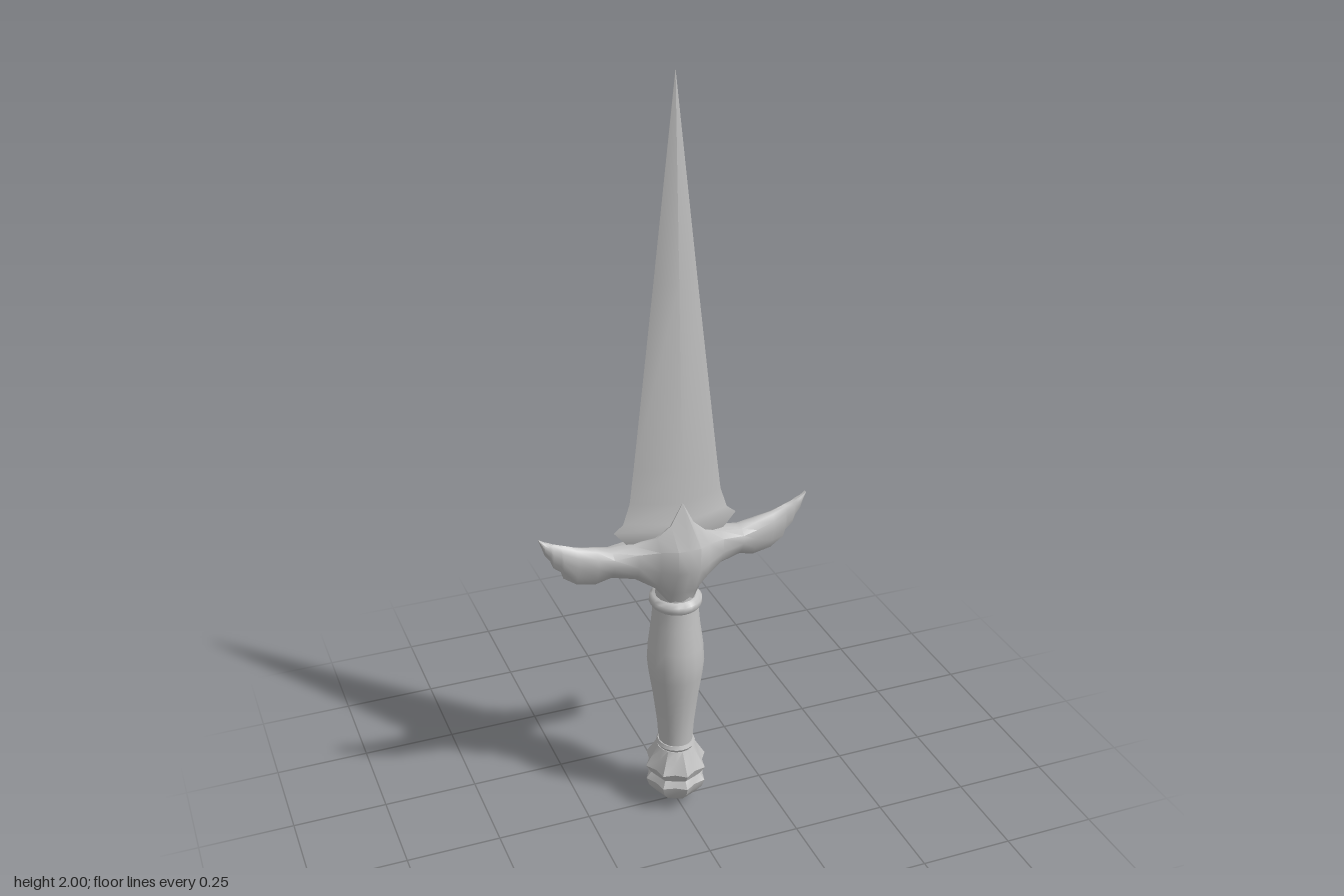
import * as THREE from 'three';
import { toCreasedNormals } from 'three/addons/utils/BufferGeometryUtils.js';

// Skin a closed surface over a list of equal-length loops of [x, y, z].
function loft(loops, crease) {
  const n = loops[0].length, index = [];
  for (let i = 0; i < loops.length - 1; i++) {
    for (let j = 0; j < n; j++) {
      const a = i * n + j, b = i * n + (j + 1) % n;
      index.push(a, b, b + n, a, b + n, a + n);
    }
  }
  const g = new THREE.BufferGeometry();
  g.setAttribute('position', new THREE.Float32BufferAttribute(loops.flat(2), 3));
  g.setIndex(index);
  return toCreasedNormals(g, crease);
}

// Turned part from [radius, y] pairs; flute < 1 pulls in every other rib.
function turned(profile, segments, crease, flute = 1) {
  const loops = profile.map(([r, y, f = flute]) => Array.from({ length: segments }, (_, j) => {
    const a = -j / segments * Math.PI * 2;
    const k = j % 2 ? r * f : r;
    return [Math.cos(a) * k, y, Math.sin(a) * k * 1.06];
  }));
  return loft(loops, crease);
}

export function createModel() {
  const model = new THREE.Group();
  const steel = new THREE.MeshStandardMaterial({ color: 0xc0c0c0 });
  steel.name = 'grey steel';
  const add = (name, geometry) => {
    const mesh = new THREE.Mesh(geometry, steel);
    mesh.name = name;
    model.add(mesh);
  };

  // Blade: diamond sections [y, half width, half thickness]
  const blade = [
    [0.76, 0.08, 0.04], [0.82, 0.135, 0.045], [0.855, 0.165, 0.05], [0.875, 0.14, 0.048],
    [0.93, 0.122, 0.046], [1.02, 0.111, 0.043], [1.5, 0.056, 0.025], [2, 0.0005, 0.0005],
  ];
  add('blade', loft(blade.map(([y, w, t]) => [[w, y, 0], [0, y, -t], [-w, y, 0], [0, y, t]]), 0.95));

  // Guard body: half sections at x, each a run of [y, z] from top to bottom
  const body = [
    [0, [0.86, 0], [0.935, 0.05], [0.825, 0.1], [0.76, 0.1], [0.685, 0.065], [0.635, 0.05], [0.635, 0]],
    [0.03, [0.84, 0], [0.875, 0.048], [0.825, 0.1], [0.76, 0.1], [0.68, 0.058], [0.645, 0.042], [0.64, 0]],
    [0.065, [0.825, 0], [0.842, 0.04], [0.815, 0.068], [0.76, 0.072], [0.71, 0.05], [0.69, 0.025], [0.685, 0]],
    [0.115, [0.818, 0], [0.818, 0.02], [0.805, 0.043], [0.77, 0.047], [0.74, 0.035], [0.722, 0.015], [0.72, 0]],
  ];
  // Wings: [x, top y, bottom y, half thickness]; the lower edge steps like feathers
  const wing = [
    [0.175, 0.815, 0.73, 0.036], [0.215, 0.825, 0.72, 0.029], [0.265, 0.836, 0.73, 0.021],
    [0.3, 0.849, 0.755, 0.015], [0.306, 0.851, 0.775, 0.014], [0.325, 0.858, 0.79, 0.012],
    [0.332, 0.862, 0.81, 0.011], [0.346, 0.868, 0.83, 0.008], [0.36, 0.876, 0.872, 0.005],
    [0.36, 0.875, 0.875, 0],
  ];
  const lens = [[0, 0], [0.05, 0.5], [0.2, 0.95], [0.45, 1], [0.75, 0.6], [0.95, 0.2], [1, 0]];
  const half = [...body, ...wing.map(([x, top, bottom, t]) =>
    [x, ...lens.map(([u, k]) => [top + (bottom - top) * u, t * k])])];
  const ring = ([x, ...pts], side) => [
    ...pts.map(([y, z]) => [x * side, y, z]),
    ...pts.slice(1, -1).reverse().map(([y, z]) => [x * side, y, -z]),
  ];
  add('winged guard', loft([
    ...half.slice(1).reverse().map(s => ring(s, -1)), ...half.map(s => ring(s, 1)),
  ], 0.85));

  // Neck between guard and collar
  add('guard neck', turned([
    [0, 0.74], [0.066, 0.72], [0.06, 0.69], [0.051, 0.66], [0.055, 0.64], [0, 0.64],
  ], 16, 0.8));

  // Collar ring at the top of the grip
  add('collar', turned([
    [0, 0.65], [0.06, 0.65], [0.068, 0.642], [0.069, 0.63], [0.063, 0.62], [0, 0.618],
  ].reverse(), 24, 0.8));

  // Swelling grip
  add('grip', turned([
    [0.045, 0.19], [0.049, 0.25], [0.06, 0.34], [0.071, 0.41], [0.075, 0.45],
    [0.072, 0.5], [0.063, 0.57], [0.058, 0.625],
  ], 16, 0.8));

  // Thin ring under the grip
  add('lower ring', turned([
    [0, 0.182], [0.048, 0.182], [0.052, 0.19], [0.048, 0.199], [0, 0.199],
  ], 20, 0.8));

  // Ribbed pommel: two stacked tiers of lobes
  add('pommel', turned([
    [0, 0, 1], [0.02, 0.006, 1], [0.054, 0.032, 0.92], [0.077, 0.06, 0.86], [0.084, 0.082, 0.86],
    [0.07, 0.1, 0.93], [0.085, 0.124, 0.84], [0.068, 0.152, 0.88], [0.05, 0.182, 1], [0, 0.184, 1],
  ], 16, 0.6));

  // Neck and guard loops close upward or downward; keep every turned surface facing out
  const neck = model.getObjectByName('guard neck');
  neck.geometry = turned([
    [0, 0.64], [0.055, 0.64], [0.051, 0.66], [0.06, 0.69], [0.066, 0.72], [0, 0.74],
  ], 16, 0.8);
  return model;
}
